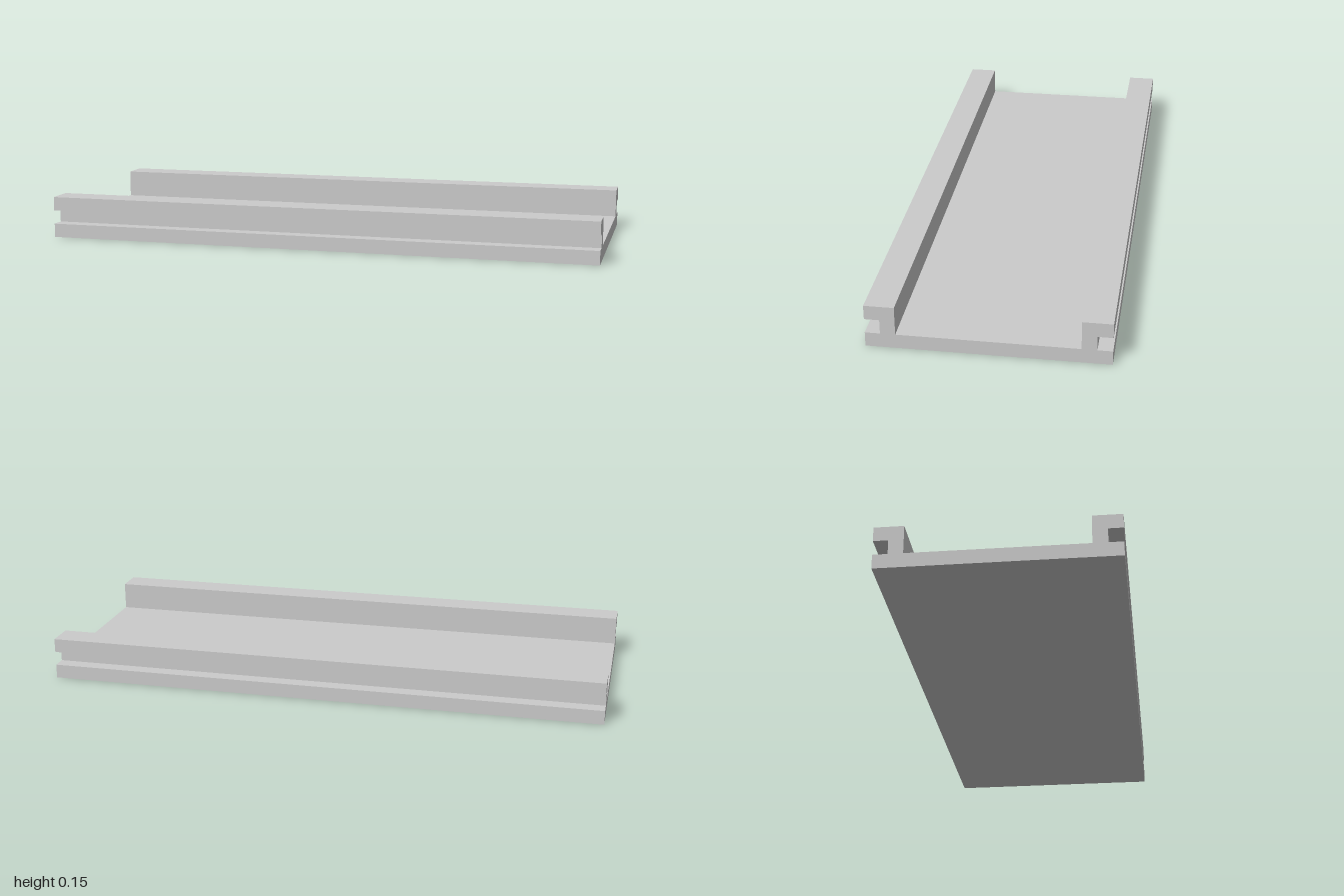
import * as THREE from 'three';

const LENGTH = 2;

export function createModel() {
  const group = new THREE.Group();
  group.name = 'channelRail';

  // Right half of the cross-section: base flange, side groove, top lip, inner wall
  const half = [
    [0.4, 0], [0.4, 0.05], [0.35, 0.05], [0.35, 0.1],
    [0.4, 0.1], [0.4, 0.15], [0.3, 0.15], [0.3, 0.05],
  ];
  // Mirror it to close the full outline
  const mirrored = half.map(([x, y]) => [-x, y]).reverse();
  const outline = [...half, ...mirrored].map(([x, y]) => new THREE.Vector2(x, y));

  // Extrude the section along the length, centred, then turn it to run along x
  const geometry = new THREE.ExtrudeGeometry(new THREE.Shape(outline), {
    depth: LENGTH,
    bevelEnabled: false,
  });
  geometry.translate(0, 0, -LENGTH / 2);
  geometry.rotateY(Math.PI / 2);

  const channel = new THREE.Mesh(
    geometry,
    new THREE.MeshStandardMaterial({ color: 0xcccccc, flatShading: true })
  );
  channel.name = 'groovedChannel';
  group.add(channel);
  return group;
}
